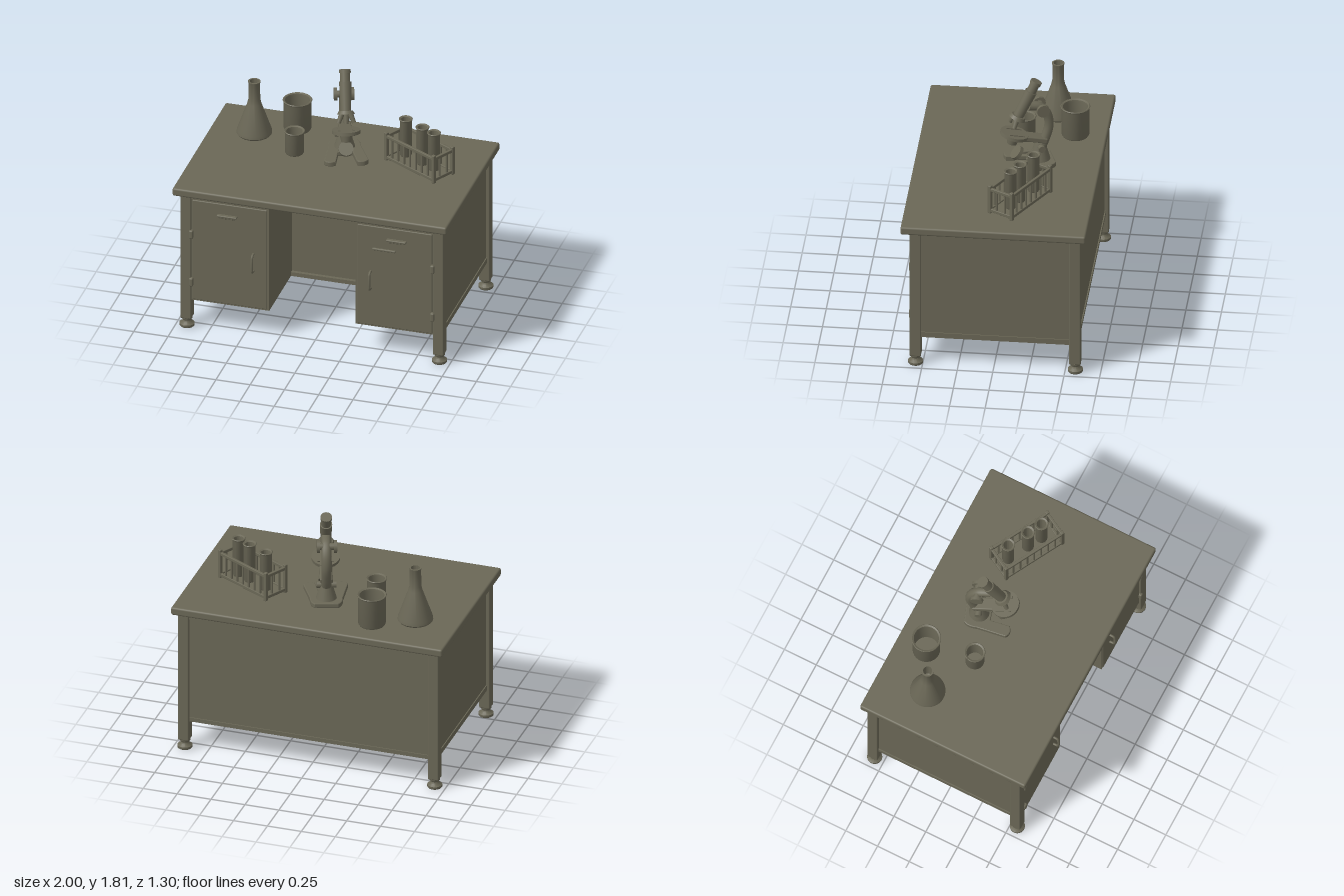
import * as THREE from 'three';
import { toCreasedNormals } from 'three/addons/utils/BufferGeometryUtils.js';
import { RoundedBoxGeometry } from 'three/addons/geometries/RoundedBoxGeometry.js';

const paint = new THREE.MeshStandardMaterial({ color: 0x6a6756 });
paint.name = 'olive grey';

function add(parent, name, geometry, x = 0, y = 0, z = 0) {
  const mesh = new THREE.Mesh(geometry, paint);
  mesh.name = name;
  mesh.position.set(x, y, z);
  parent.add(mesh);
  return mesh;
}

// Box given by its min and max on each axis, optionally with rounded edges
function box(parent, name, [x0, x1], [y0, y1], [z0, z1], r = 0) {
  const w = x1 - x0, h = y1 - y0, d = z1 - z0;
  const geo = r ? new RoundedBoxGeometry(w, h, d, 2, r) : new THREE.BoxGeometry(w, h, d);
  return add(parent, name, geo, (x0 + x1) / 2, (y0 + y1) / 2, (z0 + z1) / 2);
}

// Cylinder between two points
function rod(parent, name, a, b, r0, r1 = r0, sides = 20) {
  const A = new THREE.Vector3(...a), B = new THREE.Vector3(...b);
  const mesh = add(parent, name, new THREE.CylinderGeometry(r1, r0, A.distanceTo(B), sides));
  mesh.position.copy(A).lerp(B, 0.5);
  mesh.quaternion.setFromUnitVectors(new THREE.Vector3(0, 1, 0), B.sub(A).normalize());
  return mesh;
}

function lathe(parent, name, profile, x, y, z, sides = 32) {
  const points = profile.map(([r, h]) => new THREE.Vector2(r, h));
  return add(parent, name, toCreasedNormals(new THREE.LatheGeometry(points, sides), 0.7), x, y, z);
}

function tube(parent, name, points, r, segments = 24) {
  const curve = new THREE.CatmullRomCurve3(points.map(p => new THREE.Vector3(...p)));
  return add(parent, name, new THREE.TubeGeometry(curve, segments, r, 12));
}

// Open glass vessel with a thick wall and a lipped rim
function vessel(parent, name, r, h, x, y, z) {
  lathe(parent, name, [[0, 0], [r - 0.01, 0], [r - 0.003, 0.012], [r - 0.003, h - 0.02], [r + 0.004, h - 0.004],
    [r, h], [r - 0.012, h - 0.006], [r - 0.014, h - 0.02], [r - 0.014, 0.02], [0, 0.02]], x, y, z);
}

function makeDesk() {
  const desk = new THREE.Group();
  desk.name = 'desk';
  box(desk, 'worktop', [-1, 1], [1.07, 1.13], [-0.65, 0.65], 0.014);
  box(desk, 'rearCabinet', [-0.935, 0.935], [0.22, 1.07], [-0.585, 0.02]);
  box(desk, 'backTopRail', [-0.9, 0.9], [1.03, 1.07], [-0.6, -0.58]);
  box(desk, 'backBottomRail', [-0.9, 0.9], [0.22, 0.25], [-0.593, -0.58]);
  box(desk, 'kneeTopRail', [-0.32, 0.32], [1.035, 1.07], [0.02, 0.565]);
  box(desk, 'kneeSkirting', [-0.32, 0.32], [0.22, 0.25], [0.02, 0.045]);

  for (const s of [-1, 1]) {
    const span = (a, b) => [Math.min(s * a, s * b), Math.max(s * a, s * b)];
    // Pedestal with a door, drawer front and inset side panel
    box(desk, 'pedestal', span(0.315, 0.935), [0.22, 1.07], [0.02, 0.572]);
    box(desk, 'frontTopRail', span(0.315, 0.9), [1.03, 1.07], [0.56, 0.58]);
    box(desk, 'door', span(0.33, 0.875), [0.23, 1.02], [0.56, 0.579], 0.006);
    box(desk, 'sideTopRail', span(0.92, 0.952), [1.02, 1.07], [-0.54, 0.52]);
    box(desk, 'sideBottomRail', span(0.92, 0.942), [0.22, 0.26], [-0.54, 0.52]);

    // Corner legs and levelling feet
    for (const z of [-0.572, 0.55]) {
      box(desk, 'leg', span(0.882, 0.96), [0.07, 1.075], [z - 0.04, z + 0.04], 0.007);
      lathe(desk, 'foot', [[0, 0], [0.048, 0], [0.053, 0.006], [0.053, 0.022], [0.034, 0.036], [0.03, 0.05],
        [0.038, 0.06], [0.038, 0.072], [0, 0.072]], s * 0.921, 0, z);
    }

    // Handles and hinges
    tube(desk, 'doorHandle', [[s * 0.428, 0.525, 0.575], [s * 0.428, 0.53, 0.61], [s * 0.428, 0.56, 0.618],
      [s * 0.428, 0.625, 0.618], [s * 0.428, 0.655, 0.61], [s * 0.428, 0.66, 0.575]], 0.009);
    box(desk, 'drawerHandle', span(0.545, 0.69), [0.925, 0.94], [0.57, 0.605], 0.006);
    box(desk, 'drawerHandlePlate', span(0.56, 0.675), [0.91, 0.93], [0.57, 0.593], 0.006);
    for (const y of [0.37, 0.75]) {
      box(desk, 'hinge', span(0.865, 0.895), [y - 0.033, y + 0.033], [0.57, 0.602], 0.01);
    }
  }
  box(desk, 'labelHolder', [0.44, 0.61], [0.835, 0.852], [0.57, 0.592], 0.006);
  return desk;
}

function makeMicroscope() {
  const scope = new THREE.Group();
  scope.name = 'microscope';
  scope.position.set(0.03, 1.13, -0.13);
  scope.rotation.y = 0.35;

  // Horseshoe base
  const s = new THREE.Shape();
  s.moveTo(-0.08, 0.19);
  s.lineTo(0.08, 0.19);
  s.quadraticCurveTo(0.11, 0.17, 0.11, 0.1);
  s.lineTo(0.15, -0.1);
  s.quadraticCurveTo(0.13, -0.14, 0.08, -0.12);
  s.lineTo(0.055, 0.02);
  s.lineTo(-0.055, 0.02);
  s.lineTo(-0.08, -0.12);
  s.quadraticCurveTo(-0.13, -0.14, -0.15, -0.1);
  s.lineTo(-0.11, 0.1);
  s.quadraticCurveTo(-0.11, 0.17, -0.08, 0.19);
  const base = add(scope, 'base', new THREE.ExtrudeGeometry(s,
    { depth: 0.025, bevelEnabled: true, bevelSize: 0.006, bevelThickness: 0.006, bevelSegments: 2 }), 0, 0.006, 0);
  base.rotation.x = -Math.PI / 2;
  rod(scope, 'pillar', [0, 0.03, -0.1], [0, 0.17, -0.1], 0.075, 0.035);

  // Curved arm and focus knobs
  const arm = tube(scope, 'arm', [[0, 0.1, -0.1], [0, 0.2, -0.14], [0, 0.3, -0.165], [0, 0.39, -0.15],
    [0, 0.45, -0.1], [0, 0.47, -0.02]], 0.033, 32);
  arm.scale.x = 1.1;
  rod(scope, 'focusShaft', [-0.075, 0.445, -0.11], [0.06, 0.445, -0.11], 0.025);
  for (const x of [-0.075, 0.045]) rod(scope, 'focusKnob', [x, 0.445, -0.11], [x + 0.022, 0.445, -0.11], 0.046);
  rod(scope, 'tiltJoint', [-0.07, 0.14, -0.1], [0.07, 0.14, -0.1], 0.025);

  // Leaning optical tube, from eyepiece to objectives
  const at = t => [0, 0.385 + 0.275 * t, 0.062 - 0.138 * t];
  rod(scope, 'bodyTube', at(0.05), at(0.72), 0.037, 0.043);
  rod(scope, 'drawTube', at(0.7), at(0.95), 0.035);
  rod(scope, 'eyepiece', at(0.92), at(1), 0.041);
  rod(scope, 'nosepiece', at(-0.02), at(0.06), 0.062, 0.05);
  rod(scope, 'mainObjective', at(0), at(-0.24), 0.025, 0.016);
  for (const x of [-0.045, 0.045]) rod(scope, 'sideObjective', [x * 0.7, 0.385, 0.075], [x * 1.2, 0.33, 0.1], 0.02, 0.015);

  // Tilted stage with its bracket, condenser and mirror
  const stage = new THREE.Group();
  stage.name = 'stage';
  stage.position.set(0, 0.255, 0.085);
  stage.rotation.x = -0.25;
  scope.add(stage);
  rod(stage, 'stagePlate', [0, -0.012, 0], [0, 0.012, 0], 0.1, 0.1, 32);
  box(stage, 'stageBracket', [-0.045, 0.045], [-0.03, 0.008], [-0.24, 0], 0.008);
  for (const x of [-0.05, 0.05]) box(stage, 'slideClip', [x - 0.008, x + 0.008], [0.01, 0.019], [-0.06, 0.05]);
  rod(stage, 'condenser', [0, -0.075, 0], [0, -0.01, 0], 0.035, 0.05);
  rod(scope, 'mirrorStem', [0, 0.1, -0.08], [0, 0.1, 0.06], 0.012);
  rod(scope, 'mirror', [0, 0.092, 0.055], [0, 0.11, 0.075], 0.052);
  return scope;
}

function makeRack() {
  const rack = new THREE.Group();
  rack.name = 'testTubeRack';
  rack.position.set(0.565, 1.13, -0.145);
  rack.rotation.y = -0.5;
  const L = 0.235, W = 0.092;
  box(rack, 'rackFloor', [-L, L], [0.008, 0.026], [-W, W]);

  for (const z of [-W, W]) {
    // Long rails, corner posts and slats
    for (const y of [0.025, 0.19]) box(rack, 'longRail', [-L, L], [y - 0.012, y + 0.012], [z - 0.01, z + 0.01], 0.004);
    for (const x of [-L, L]) box(rack, 'rackPost', [x - 0.013, x + 0.013], [0, 0.22], [z - 0.013, z + 0.013], 0.005);
    for (let i = 1; i < 8; i++) {
      const x = -L + (i * 2 * L) / 8;
      rod(rack, 'slat', [x, 0.02, z], [x, 0.19, z], 0.008, 0.008, 8);
    }
  }
  for (const x of [-L, L]) {
    for (const y of [0.025, 0.19]) box(rack, 'endRail', [x - 0.01, x + 0.01], [y - 0.012, y + 0.012], [-W, W], 0.004);
    for (const z of [-0.035, 0.035]) rod(rack, 'endSlat', [x, 0.02, z], [x, 0.19, z], 0.008, 0.008, 8);
  }
  for (const x of [-0.148, 0.018, 0.132]) vessel(rack, 'testTube', 0.045, 0.295, x, 0.03, -0.012);
  return rack;
}

export function createModel() {
  const model = new THREE.Group();
  model.name = 'laboratoryDesk';
  model.add(makeDesk(), makeMicroscope(), makeRack());

  // Glassware
  lathe(model, 'conicalFlask', [[0, 0], [0.115, 0], [0.125, 0.012], [0.122, 0.035], [0.05, 0.24], [0.042, 0.275],
    [0.04, 0.4], [0.044, 0.41], [0.044, 0.416], [0.032, 0.416], [0.03, 0.28], [0, 0.27]], -0.68, 1.13, -0.28);
  vessel(model, 'largeBeaker', 0.1, 0.235, -0.41, 1.13, -0.43);
  vessel(model, 'smallBeaker', 0.07, 0.18, -0.33, 1.13, -0.09);
  return model;
}
